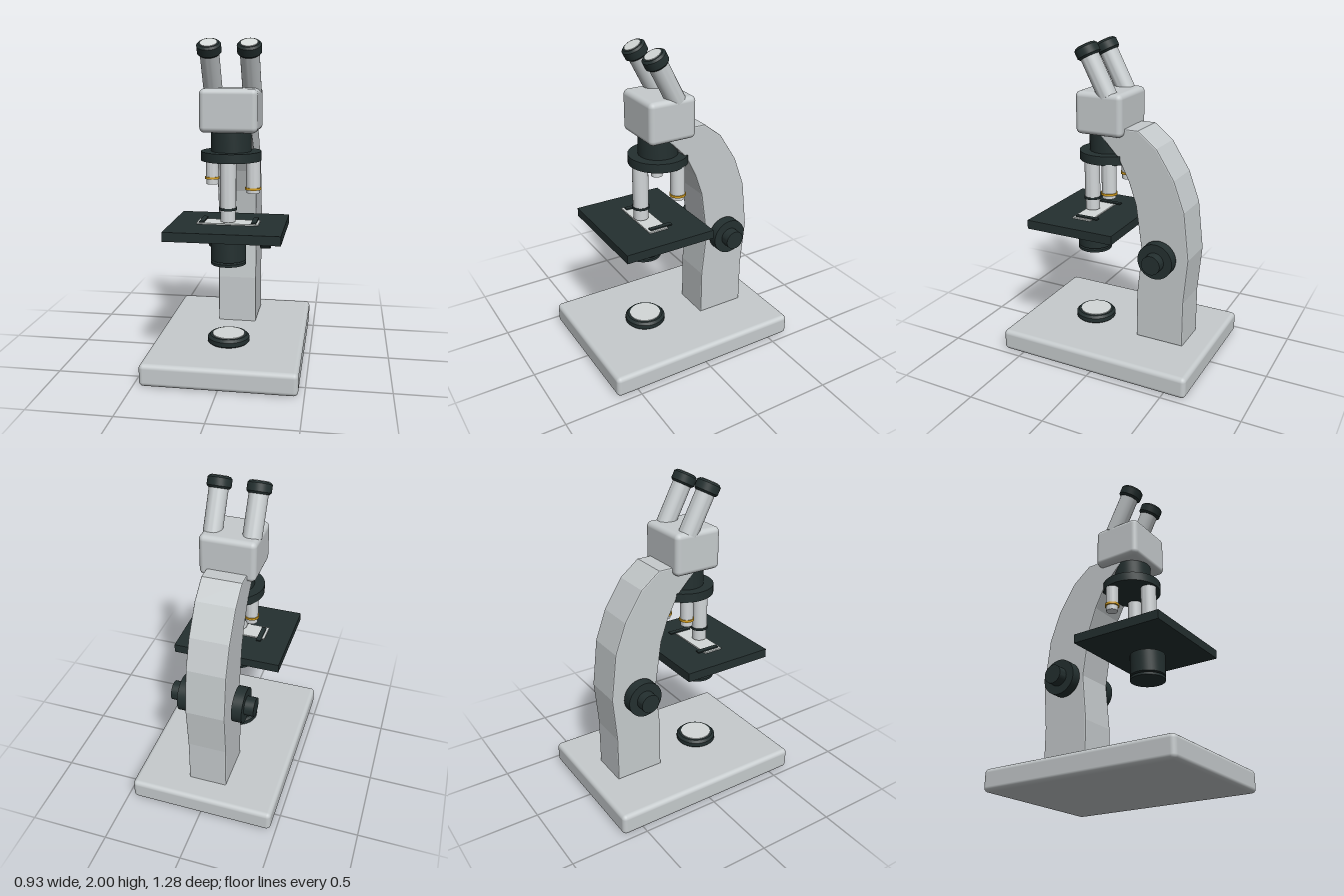
import * as THREE from 'three';
import { RoundedBoxGeometry } from 'three/addons/geometries/RoundedBoxGeometry.js';
import { toCreasedNormals } from 'three/addons/utils/BufferGeometryUtils.js';

const material = (name, color) => {
  const m = new THREE.MeshStandardMaterial({ color });
  m.name = name;
  return m;
};

export function createModel() {
  const body = material('light grey enamel', 0xc6cbcd);
  const dark = material('dark green black', 0x243030);
  const metal = material('pale metal', 0xd2d6d8);
  const glass = material('pale glass', 0xd3d8d7);
  const gold = material('gold band', 0xd6a021);

  const model = new THREE.Group();
  model.name = 'microscope';

  const add = (name, geometry, mat, x = 0, y = 0, z = 0, parent = model) => {
    const mesh = new THREE.Mesh(geometry, mat);
    mesh.name = name;
    mesh.position.set(x, y, z);
    parent.add(mesh);
    return mesh;
  };
  const group = (name, x, y, z) => {
    const g = new THREE.Group();
    g.name = name;
    g.position.set(x, y, z);
    model.add(g);
    return g;
  };
  // Upright cylinder with optional bevelled rims, from y0 to y1
  const disc = (r, y0, y1, bevel = 0) => {
    const pts = bevel
      ? [[0, y0], [r - bevel, y0], [r, y0 + bevel], [r, y1 - bevel], [r - bevel, y1], [0, y1]]
      : [[0, y0], [r, y0], [r, y1], [0, y1]];
    const lathe = new THREE.LatheGeometry(pts.map(p => new THREE.Vector2(...p)), 40);
    return toCreasedNormals(lathe, 0.6);
  };

  // Base plate with the lamp
  add('base', new RoundedBoxGeometry(0.93, 0.137, 1.28, 4, 0.028), body, 0, 0.0685);
  add('lampHousing', disc(0.13, 0.13, 0.187, 0.015), dark, 0, 0, 0.2);
  add('lampLens', disc(0.1, 0.18, 0.192), glass, 0, 0, 0.2);

  // Curved arm: side profile as (z, y), swept across x
  const profile = [
    [-0.165, 0.137], [-0.165, 0.44], [-0.195, 0.73], [-0.153, 1.03], [-0.105, 1.17],
    [-0.035, 1.31], [0.085, 1.435], [0.085, 1.495], [-0.165, 1.495], [-0.285, 1.4],
    [-0.4, 1.22], [-0.47, 1.03], [-0.505, 0.73], [-0.48, 0.44], [-0.48, 0.137],
  ];
  const b = 0.008;
  const armGeometry = new THREE.ExtrudeGeometry(
    new THREE.Shape(profile.map(p => new THREE.Vector2(...p))),
    { depth: 0.25 - 2 * b, bevelEnabled: true, bevelSize: b, bevelOffset: -b, bevelThickness: b, bevelSegments: 2 });
  armGeometry.translate(0, 0, b - 0.125);
  armGeometry.rotateY(-Math.PI / 2);
  add('arm', armGeometry, body);

  // Focus knobs on both sides
  for (const side of [-1, 1]) {
    const knob = group(side > 0 ? 'leftFocusKnob' : 'rightFocusKnob', 0, 0.72, -0.32);
    knob.rotation.z = -side * Math.PI / 2;
    add('axle', disc(0.04, 0.12, 0.15), dark, 0, 0, 0, knob);
    add('coarseKnob', disc(0.113, 0.142, 0.207), dark, 0, 0, 0, knob);
    add('fineKnob', disc(0.06, 0.2, 0.267), dark, 0, 0, 0, knob);
  }

  // Head, neck and revolving nosepiece
  add('head', new RoundedBoxGeometry(0.35, 0.26, 0.31, 4, 0.032), body, 0, 1.574, 0.08);
  add('neck', disc(0.123, 1.31, 1.46), dark, 0, 0, 0.09);
  add('nosepiece', disc(0.185, 1.268, 1.324), dark, 0, 0, 0.09);

  // Pair of tilted eyepieces
  for (const side of [-1, 1]) {
    const eye = group(side > 0 ? 'leftEyepiece' : 'rightEyepiece', side * 0.12, 1.936, 0.169);
    eye.rotation.x = 0.48;
    add('eyeTube', disc(0.058, -0.29, 0), body, 0, 0, 0, eye);
    add('eyeCap', disc(0.073, -0.035, 0.036, 0.012), dark, 0, 0, 0, eye);
    add('eyeLens', disc(0.051, 0.03, 0.04), glass, 0, 0, 0, eye);
  }

  // Objectives: x, z, radius, bottom, ring height, ring material
  const objectives = [
    ['longObjective', 0, 0.215, 0.049, 0.912, 0.99, dark],
    ['mediumObjective', 0.128, 0.027, 0.045, 1.055, 1.083, gold],
    ['shortObjective', -0.13, 0.027, 0.04, 1.105, 1.145, gold],
  ];
  for (const [name, x, z, r, bottom, ring, ringMaterial] of objectives) {
    const o = group(name, x, 0, z);
    add('barrel', disc(r, ring, 1.275), metal, 0, 0, 0, o);
    add('tip', disc(r - 0.003, bottom, ring), metal, 0, 0, 0, o);
    add('band', disc(r + 0.006, ring - 0.007, ring + 0.007), ringMaterial, 0, 0, 0, o);
  }

  // Stage, slide and clips
  add('stage', new THREE.BoxGeometry(0.69, 0.056, 0.59), dark, 0, 0.868, 0.197);
  add('slide', new THREE.BoxGeometry(0.375, 0.008, 0.125), glass, 0, 0.9, 0.194);
  for (const side of [-1, 1]) {
    add('stageClip', new THREE.BoxGeometry(0.03, 0.008, 0.15), dark, side * 0.158, 0.908, 0.167);
  }

  // Condenser hanging below the stage
  const condenser = group('condenser', 0, 0, 0.2);
  add('condenserBody', disc(0.108, 0.672, 0.807), dark, 0, 0, 0, condenser);
  add('irisRing', disc(0.108, 0.645, 0.661), dark, 0, 0, 0, condenser);
  add('irisNeck', disc(0.07, 0.655, 0.68), dark, 0, 0, 0, condenser);
  const dome = new THREE.SphereGeometry(0.073, 32, 10, 0, Math.PI * 2, 0, Math.PI / 2);
  dome.scale(1, 0.45, 1);
  add('condenserLens', dome, glass, 0, 0.805, 0, condenser);

  return model;
}
